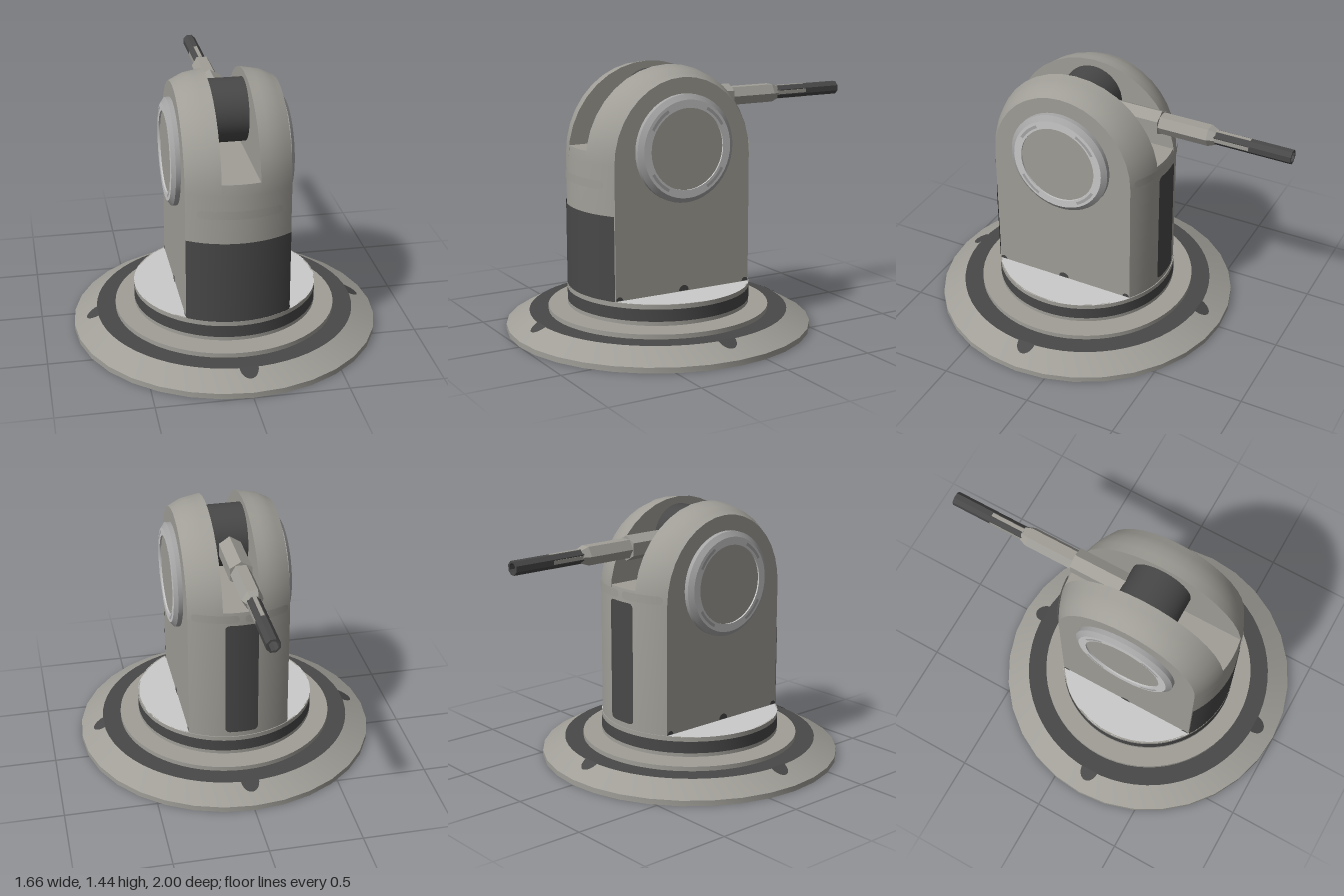
import * as THREE from 'three';
import { toCreasedNormals } from 'three/addons/utils/BufferGeometryUtils.js';

const HALF = 0.275, R = 0.49, SLOT = 0.1, FLOOR = 1.02;

function material(name, color) {
  const m = new THREE.MeshStandardMaterial({ color, side: THREE.DoubleSide });
  m.name = name;
  return m;
}

// Cross-section of the housing at a given x: straight walls with an arched top
function section(x, slotted) {
  const depth = Math.sqrt(R * R - x * x), a = Math.abs(x);
  const rise = a <= 0.2 ? 0.48 - Math.max(0, a - 0.1) * 0.15 : 0.465 - (a - 0.2) * 0.47;
  const pts = [[x, 0.25, depth]];
  for (let i = 0; i <= 18; i++) {
    const t = Math.PI * i / 18;
    const y = 0.96 + rise * Math.sin(t);
    pts.push([x, slotted ? Math.min(y, FLOOR) : y, depth * Math.cos(t)]);
  }
  pts.push([x, 0.25, -depth]);
  return pts;
}

// Loft through the sections, with a fan on each flat cheek
function housingGeometry() {
  const half = [0.275, 0.24, 0.2, 0.15, SLOT].map(x => [x, false]);
  const mid = [SLOT, 0.05, 0, -0.05, -SLOT].map(x => [x, true]);
  const list = [...half, ...mid, ...half.map(([x]) => [-x, false]).reverse()];
  const rows = list.map(([x, s]) => section(x, s));
  const n = rows[0].length, pos = rows.flat(2), idx = [];
  for (let r = 0; r < rows.length - 1; r++) {
    for (let i = 0; i < n - 1; i++) {
      const a = r * n + i, b = a + n;
      idx.push(a, a + 1, b, b, a + 1, b + 1);
    }
  }
  const last = (rows.length - 1) * n;
  for (let i = 1; i < n - 1; i++) {
    idx.push(0, i + 1, i);
    idx.push(last, last + i, last + i + 1);
  }
  const g = new THREE.BufferGeometry();
  g.setAttribute('position', new THREE.Float32BufferAttribute(pos, 3));
  g.setIndex(idx);
  return toCreasedNormals(g, 0.5);
}

// Round-cornered plate wrapped onto the curved wall
function wrappedPlate(x0, x1, y0, y1, corner, radius) {
  const g = new THREE.PlaneGeometry(2, 2, 28, 1), p = g.attributes.position;
  const w = (x1 - x0) / 2, h = (y1 - y0) / 2;
  for (let i = 0; i < p.count; i++) {
    const dx = w * Math.sin(p.getX(i) * Math.PI / 2), x = (x0 + x1) / 2 + dx;
    const d = Math.max(0, w - Math.abs(dx));
    const hh = d < corner ? h - corner + Math.sqrt(corner ** 2 - (corner - d) ** 2) : h;
    p.setXYZ(i, x, (y0 + y1) / 2 + Math.sign(p.getY(i)) * hh, Math.sqrt(radius ** 2 - x * x));
  }
  g.computeVertexNormals();
  return g;
}

function lathe(points, segments = 64) {
  const g = new THREE.LatheGeometry(points.map(p => new THREE.Vector2(...p)), segments);
  return toCreasedNormals(g, 0.4);
}

// Faceted bar running backwards from z0 to z1
function bar(r0, r1, sides, turn, z0, z1, open = false) {
  const g = new THREE.CylinderGeometry(r1, r0, z0 - z1, sides, 1, open);
  g.rotateY(turn).rotateX(-Math.PI / 2).translate(0, 0, (z0 + z1) / 2);
  return toCreasedNormals(g, 0.1);
}

export function createModel() {
  const body = material('warm grey', 0xa09e97);
  const dark = material('dark grey', 0x484848);
  const light = material('light grey', 0xcacaca);
  const rim = material('rim grey', 0xa6a6a6);

  const model = new THREE.Group();
  const turret = new THREE.Group();
  turret.name = 'turret';
  turret.position.z = 0.17;
  model.add(turret);
  const add = (parent, name, geometry, mat) => {
    const m = new THREE.Mesh(geometry, mat);
    m.name = name;
    parent.add(m);
    return m;
  };

  // Stepped base shell
  add(turret, 'baseSkirt', lathe([[0.83, 0], [0.83, 0.03], [0.7, 0.1]], 32), body);
  add(turret, 'baseDarkRing', lathe([[0.704, 0.1], [0.6, 0.1]]), dark);
  add(turret, 'baseStep', lathe([[0.6, 0.1], [0.6, 0.125], [0.455, 0.125], [0.455, 0.14],
    [0.495, 0.14], [0.495, 0.16]]), body);
  add(turret, 'turntableBand', lathe([[0.495, 0.16], [0.495, 0.225]]), dark);
  add(turret, 'turntableLip', lathe([[0.495, 0.225], [0.495, 0.25], [0.488, 0.25]]), body);

  // Dark tabs on the skirt
  for (let i = 0; i < 4; i++) {
    const g = new THREE.CircleGeometry(0.05, 14, Math.PI, Math.PI);
    g.scale(1, 1.4, 1).rotateX(-Math.PI / 2 + 0.494).translate(0, 0.104, 0.7);
    add(turret, 'skirtTab', g, dark).rotation.y = i * Math.PI / 2;
  }

  // Housing with its slot, dark panels and raised strips
  add(turret, 'housing', housingGeometry(), body);
  add(turret, 'frontPanel', wrappedPlate(-HALF, HALF, 0.25, 0.7, 0, R + 0.004), dark);
  add(turret, 'frontPanelInside', wrappedPlate(-0.27, 0.27, 0.25, 0.7, 0, R - 0.004), dark);
  add(turret, 'frontStrip', wrappedPlate(-0.22, 0.22, 0.835, 0.88, 0.022, R + 0.005), body);
  const back = new THREE.Group();
  back.name = 'backDetails';
  back.rotation.y = Math.PI;
  turret.add(back);
  add(back, 'backPanel', wrappedPlate(-0.09, 0.09, 0.28, 0.95, 0.025, R + 0.004), dark);
  for (const [a, b] of [[-0.26, -0.015], [0.015, 0.26]]) {
    add(back, 'backStrip', wrappedPlate(a, b, 0.965, 1.01, 0.022, R + 0.005), body);
  }

  // Both sides: turntable deck, pivot cap and small vents
  const a = Math.acos(HALF / 0.495);
  const deck = new THREE.Shape().absarc(0, 0, 0.495, -a, a, false);
  for (const s of [1, -1]) {
    const side = new THREE.Group();
    side.name = s > 0 ? 'leftSide' : 'rightSide';
    side.rotation.y = s > 0 ? 0 : Math.PI;
    turret.add(side);
    add(side, 'deck', new THREE.ShapeGeometry(deck, 24).rotateX(-Math.PI / 2).translate(0, 0.25, 0), light);
    for (const [z, r] of [[0, 0.03], [0.385, 0.02], [-0.385, 0.02]]) {
      add(side, 'vent', new THREE.CircleGeometry(r, 12, 0, Math.PI)
        .rotateY(Math.PI / 2).translate(HALF + 0.003, 0.253, z), dark);
    }
    const cap = new THREE.Group();
    cap.name = 'pivotCap';
    cap.position.y = 1.02;
    side.add(cap);
    const outward = g => g.rotateZ(-Math.PI / 2);
    add(cap, 'capRim', outward(lathe([[0.285, 0.27], [0.285, 0.3], [0.258, 0.32]], 48)), rim);
    add(cap, 'capRing', outward(lathe([[0.258, 0.32], [0.215, 0.32], [0.215, 0.31]], 48)), light);
    add(cap, 'capFace', new THREE.CircleGeometry(0.216, 48).rotateY(Math.PI / 2).translate(0.311, 0, 0), body);
    for (let i = 0; i < 4; i++) {
      const start = Math.PI / 4 + i * Math.PI / 2 - 0.28;
      add(cap, 'capMark', new THREE.RingGeometry(0.227, 0.243, 10, 1, start, 0.56)
        .rotateY(Math.PI / 2).translate(0.323, 0, 0), rim);
    }
  }

  // Pivot drum in the slot
  add(turret, 'pivotDrum', new THREE.CylinderGeometry(0.168, 0.168, 2 * SLOT, 40)
    .rotateZ(Math.PI / 2).translate(0, 1.233, 0), dark);

  // Arm and hollow barrel
  const gun = new THREE.Group();
  gun.name = 'barrelArm';
  gun.position.y = 1.23;
  model.add(gun);
  add(gun, 'armBlock', bar(0.068, 0.068, 6, 0, 0.06, -0.28), body);
  add(gun, 'armShaft', bar(0.056, 0.056, 6, Math.PI / 6, -0.27, -0.55), body);
  add(gun, 'armTaper', bar(0.056, 0.04, 6, Math.PI / 6, -0.55, -0.59), body);
  add(gun, 'barrel', bar(0.038, 0.038, 8, Math.PI / 8, -0.57, -1, true), dark);
  add(gun, 'bore', bar(0.027, 0.027, 8, Math.PI / 8, -0.9, -1, true), dark);
  add(gun, 'boreEnd', new THREE.CircleGeometry(0.028, 8, Math.PI / 8).rotateY(Math.PI).translate(0, 0, -0.9), dark);
  add(gun, 'muzzle', new THREE.RingGeometry(0.027, 0.038, 8, 1, Math.PI / 8).rotateY(Math.PI).translate(0, 0, -1), dark);
  for (let i = 0; i < 4; i++) {
    const g = new THREE.BoxGeometry(0.02, 0.006, 0.19).translate(0, 0.0345, -0.68);
    add(gun, 'barrelInlay', g, body).rotation.z = i * Math.PI / 2;
  }
  return model;
}
